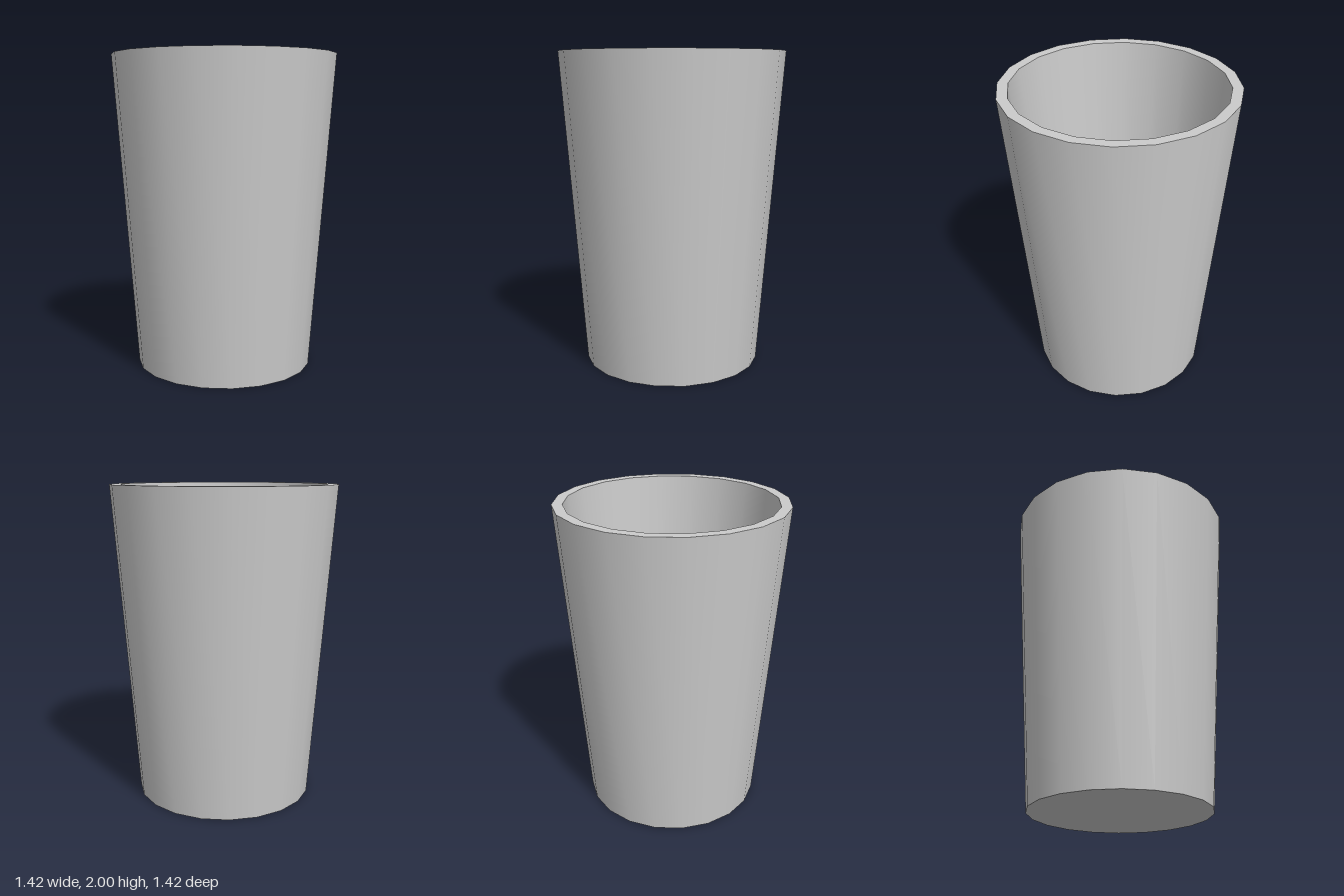
import * as THREE from 'three';

const SIDES = 20;
const HEIGHT = 2, FLOOR = 0.06;
const OUTER_TOP = 0.712, OUTER_BOTTOM = 0.565;
const INNER_TOP = 0.647, INNER_BOTTOM = 0.502;

export function createModel() {
  const cup = new THREE.Group();
  cup.name = 'cup';
  const material = new THREE.MeshStandardMaterial({ color: 0xcccccc });

  const add = (name, geometry) => {
    const mesh = new THREE.Mesh(geometry, material);
    mesh.name = name;
    cup.add(mesh);
    return mesh;
  };
  // Ring of faces between two circles, smooth around and sharp at both edges
  const band = (name, r0, y0, r1, y1) =>
    add(name, new THREE.LatheGeometry([new THREE.Vector2(r0, y0), new THREE.Vector2(r1, y1)], SIDES));
  // Flat disc facing up (1) or down (-1)
  const disc = (name, radius, y, facing) => {
    const mesh = add(name, new THREE.CircleGeometry(radius, SIDES));
    mesh.rotation.x = -facing * Math.PI / 2;
    mesh.position.y = y;
  };

  // Tapered wall with a flat rim
  band('outerWall', OUTER_BOTTOM, 0, OUTER_TOP, HEIGHT);
  band('rim', OUTER_TOP, HEIGHT, INNER_TOP, HEIGHT);
  band('innerWall', INNER_TOP, HEIGHT, INNER_BOTTOM, FLOOR);

  // Floor inside and base underneath
  disc('innerFloor', INNER_BOTTOM, FLOOR, 1);
  disc('base', OUTER_BOTTOM, 0, -1);

  return cup;
}
